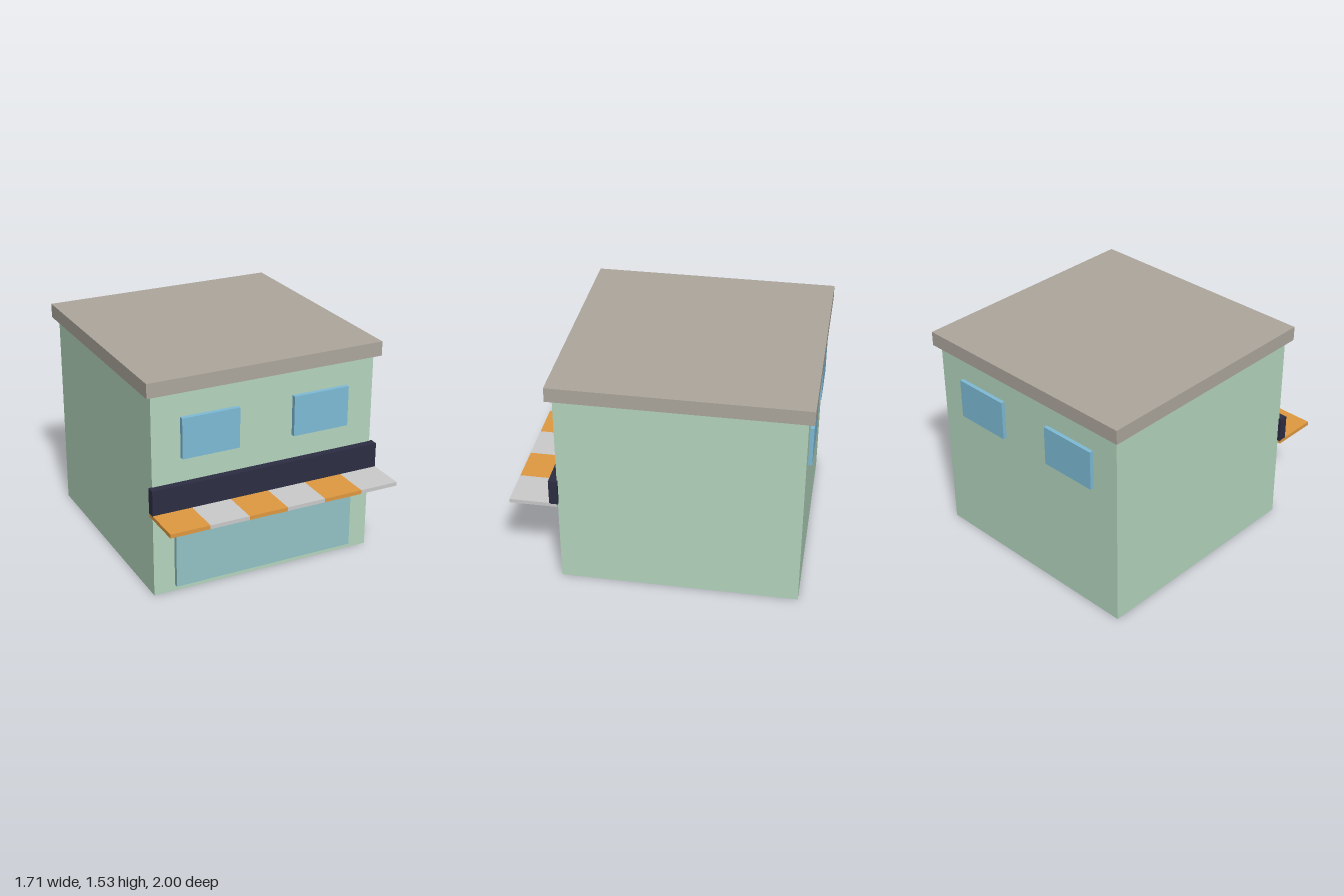
import * as THREE from 'three';

const mat = (color) => new THREE.MeshStandardMaterial({ color });

export function createModel() {
  const group = new THREE.Group();
  const wall = mat(0xb5d6bf), roof = mat(0xada79d), glass = mat(0x7fbcd8);
  const shopGlass = mat(0x94c4c6), dark = mat(0x2d2d44);
  const orange = mat(0xe09a40), pale = mat(0xcccccc);

  // Box given by its extents along each axis
  const box = (name, material, [x0, x1], [y0, y1], [z0, z1]) => {
    const mesh = new THREE.Mesh(new THREE.BoxGeometry(x1 - x0, y1 - y0, z1 - z0), material);
    mesh.position.set((x0 + x1) / 2, (y0 + y1) / 2, (z0 + z1) / 2);
    mesh.name = name;
    group.add(mesh);
  };

  // Building shell and overhanging flat roof
  box('walls', wall, [-0.813, 0.813], [0, 1.43], [-0.96, 0.673]);
  box('roof', roof, [-0.853, 0.853], [1.43, 1.53], [-1, 0.713]);

  // Upper windows, front and back
  for (const [side, x] of [['left', [0.2, 0.61]], ['right', [-0.61, -0.2]]]) {
    box(`${side}FrontWindow`, glass, x, [0.967, 1.25], [0.66, 0.705]);
    box(`${side}BackWindow`, glass, x, [0.967, 1.25], [-0.987, -0.945]);
  }

  // Shop window and sign board
  box('shopWindow', shopGlass, [-0.663, 0.663], [0.045, 0.573], [0.66, 0.705]);
  box('signBoard', dark, [-0.835, 0.835], [0.617, 0.797], [0.667, 0.727]);

  // Flat awning in alternating stripes
  const stripes = 6, width = 1.67 / stripes;
  for (let i = 0; i < stripes; i++) {
    const x = -0.835 + i * width;
    box(`awningStripe${i + 1}`, i % 2 ? pale : orange, [x, x + width], [0.595, 0.622], [0.673, 1]);
  }
  return group;
}
